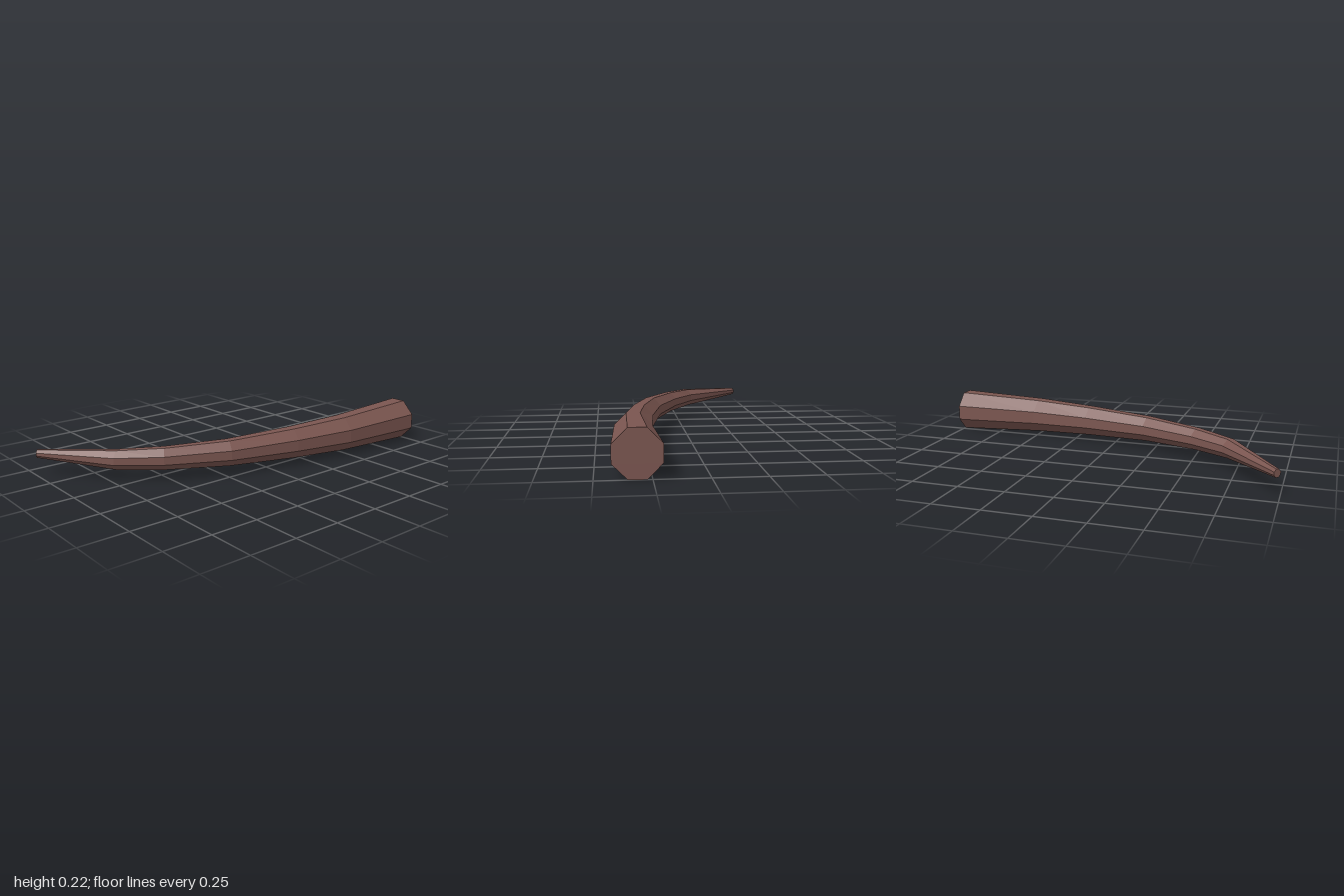
import * as THREE from 'three';

// Octagon rings along the curve: left x, z, right x, z, half height
const rings = [
  [0.203, -1.0, 0.425, -1.0, 0.112],
  [0.222, -0.51, 0.405, -0.49, 0.094],
  [0.197, -0.175, 0.345, -0.145, 0.081],
  [0.132, 0.19, 0.25, 0.233, 0.067],
  [0.017, 0.487, 0.102, 0.55, 0.057],
  [-0.1, 0.677, -0.047, 0.75, 0.05],
  [-0.428, 0.968, -0.403, 0.996, 0.021],
];
const midY = 0.1125;
const f = 0.37; // half length of the flat sides relative to the radius
const octagon = [[1, -f], [1, f], [f, 1], [-f, 1], [-1, f], [-1, -f], [-f, -1], [f, -1]];

function hornGeometry() {
  const n = octagon.length, last = (rings.length - 1) * n;
  const positions = [], index = [];
  for (const [lx, lz, rx, rz, h] of rings) {
    for (const [u, v] of octagon) {
      const t = (u + 1) / 2;
      positions.push(lx + (rx - lx) * t, midY + v * h, lz + (rz - lz) * t);
    }
  }
  // Side faces between neighbouring rings
  for (let i = 0; i < rings.length - 1; i++) {
    for (let j = 0; j < n; j++) {
      const a = i * n + j, b = i * n + (j + 1) % n;
      index.push(a, b, b + n, a, b + n, a + n);
    }
  }
  // Flat caps at the base and the tip
  for (let j = 1; j < n - 1; j++) {
    index.push(0, j + 1, j, last, last + j, last + j + 1);
  }
  const geometry = new THREE.BufferGeometry();
  geometry.setAttribute('position', new THREE.Float32BufferAttribute(positions, 3));
  geometry.setIndex(index);
  const flat = geometry.toNonIndexed();
  flat.computeVertexNormals();
  return flat;
}

export function createModel() {
  const group = new THREE.Group();
  group.name = 'curvedHorn';
  const material = new THREE.MeshStandardMaterial({ color: 0x7b5650, flatShading: true });
  const horn = new THREE.Mesh(hornGeometry(), material);
  horn.name = 'horn';
  group.add(horn);
  return group;
}
